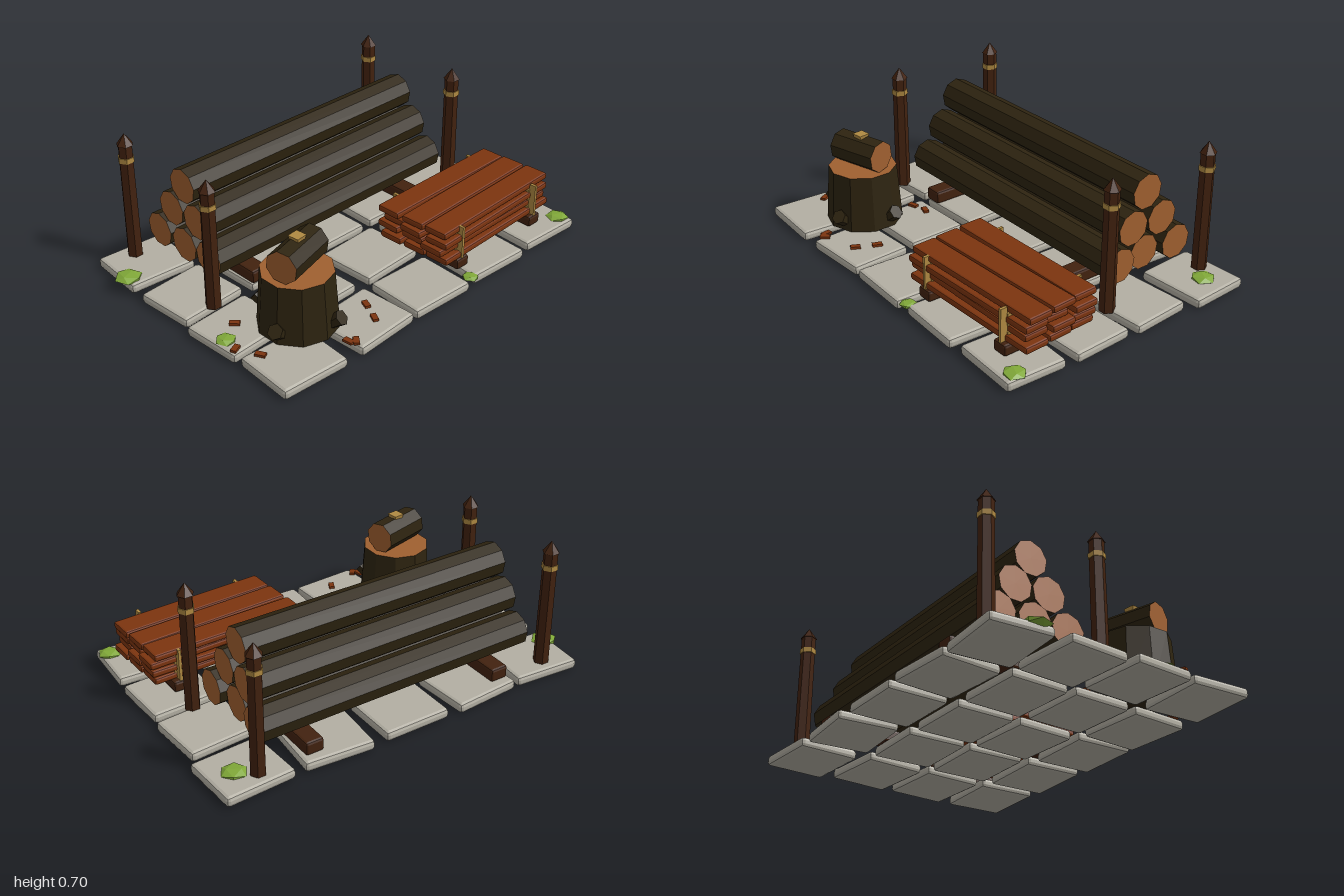
import * as THREE from 'three';
import { RoundedBoxGeometry } from 'three/addons/geometries/RoundedBoxGeometry.js';

const mat = (name, color) => {
  const m = new THREE.MeshStandardMaterial({ color, flatShading: true });
  m.name = name;
  return m;
};

export function createModel() {
  const stone = mat('stone', 0xb3afa3);
  const bark = mat('bark', 0x2e2410);
  const cutWood = mat('cutWood', 0xa06030);
  const darkWood = mat('darkWood', 0x42220f);
  const plankWood = mat('plankWood', 0x7c340f);
  const straw = mat('straw', 0xb08a42);
  const moss = mat('moss', 0x80a838);

  const root = new THREE.Group();
  root.name = 'lumberYard';

  const group = (name) => {
    const g = new THREE.Group();
    g.name = name;
    root.add(g);
    return g;
  };
  const add = (parent, name, geo, material, x, y, z, yaw = 0) => {
    const m = new THREE.Mesh(geo, material);
    m.name = name;
    m.position.set(x, y, z);
    m.rotation.y = yaw;
    parent.add(m);
    return m;
  };
  const chamferBox = (w, h, d, r) => new RoundedBoxGeometry(w, h, d, 1, r);
  // Cylinder lying along x with bark sides and cut wood ends
  const log = (parent, name, r, length, sides, x, y, z, yaw = 0) => {
    const geo = new THREE.CylinderGeometry(r, r, length, sides, 1, false, Math.PI / 6);
    geo.rotateZ(-Math.PI / 2);
    return add(parent, name, geo, [bark, cutWood, cutWood], x, y, z, yaw);
  };

  // Paving: four rows of five slightly turned slabs
  const paving = group('paving');
  const rows = [
    { z: -0.525, yaw: [-0.08, 0.07, 0, -0.08, 0.05], dx: [0.01, 0, 0, 0.01, 0.03] },
    { z: -0.17, yaw: [0.06, 0.03, 0, -0.03, 0.07], dx: [0, 0, 0, 0, 0.01] },
    { z: 0.17, yaw: [0.05, 0.02, 0.04, -0.03, 0.04], dx: [-0.01, 0, 0.02, 0.01, 0.01] },
    { z: 0.515, yaw: [-0.06, 0.05, -0.04, -0.05, -0.05], dx: [0, 0.02, 0, 0, 0] },
  ];
  for (const { z, yaw, dx } of rows) {
    for (let c = 0; c < 5; c++) {
      add(paving, 'slab', chamferBox(0.345, 0.05, 0.305, 0.017), stone,
        -0.788 + c * 0.394 + dx[c], 0.026, z, yaw[c]);
    }
  }

  // Rack: two sleepers and four pointed posts with bands
  const rack = group('logRack');
  for (const x of [-0.512, 0.512]) {
    add(rack, 'sleeper', chamferBox(0.092, 0.066, 0.61, 0.012), darkWood, x, 0.083, -0.315);
  }
  const hex = (rTop, rBottom, h) => new THREE.CylinderGeometry(rTop, rBottom, h, 6, 1, false, Math.PI / 6);
  for (const x of [-0.787, 0.787]) {
    for (const z of [-0.018, -0.6]) {
      add(rack, 'post', hex(0.035, 0.038, 0.6), darkWood, x, 0.345, z);
      add(rack, 'postTip', hex(0, 0.041, 0.057), darkWood, x, 0.668, z);
      add(rack, 'postBand', hex(0.04, 0.04, 0.025), straw, x, 0.567, z);
    }
  }

  // Pyramid of six logs
  const pile = group('logPile');
  const logs = [
    [-0.13, 0.205, 0.015, 1.46], [-0.302, 0.205, 0, 1.43], [-0.485, 0.205, 0.01, 1.45],
    [-0.22, 0.356, 0.01, 1.43], [-0.395, 0.356, 0.01, 1.43], [-0.31, 0.505, 0.005, 1.41],
  ];
  for (const [z, y, x, length] of logs) log(pile, 'log', 0.086, length, 9, x, y, z);

  // Chopping block with roots, a short log and a wedge
  const block = group('choppingBlock');
  block.position.set(-0.603, 0, 0.34);
  add(block, 'stump', new THREE.CylinderGeometry(0.167, 0.187, 0.282, 10), [bark, cutWood, bark], 0, 0.192, 0);
  for (const [x, z] of [[-0.18, 0.065], [0.195, -0.05], [0.07, 0.185], [-0.06, -0.185]]) {
    const geo = new THREE.CylinderGeometry(0.022, 0.037, 0.12, 6);
    geo.rotateX(Math.PI / 2 - 0.7 + Math.PI);
    const a = Math.atan2(x, z);
    add(block, 'root', geo, bark, Math.sin(a) * 0.165, 0.098, Math.cos(a) * 0.165, a);
  }
  log(block, 'shortLog', 0.079, 0.26, 8, 0, 0.41, 0.005, 0.27);
  add(block, 'wedge', new THREE.CylinderGeometry(0.04, 0.025, 0.05, 4, 1, false, Math.PI / 4), straw,
    0.003, 0.475, 0.002, 0.12);

  // Plank stack on two bearers
  const stack = group('plankStack');
  for (const x of [0.23, 0.765]) {
    add(stack, 'bearer', chamferBox(0.08, 0.055, 0.455, 0.012), darkWood, x, 0.08, 0.345);
    for (const z of [0.55, 0.142]) {
      add(stack, 'strap', new THREE.BoxGeometry(0.014, 0.165, 0.035), straw, x, 0.187, z);
    }
    for (const y of [0.143, 0.188, 0.233]) {
      add(stack, 'spacer', new THREE.BoxGeometry(0.03, 0.014, 0.38), straw, x, y, 0.345);
    }
  }
  const layers = [
    { y: 0.121, yaw: [0.02, 0.035, 0.03], dz: 0.012 },
    { y: 0.166, yaw: [-0.015, 0.02, 0.015], dz: -0.004 },
    { y: 0.21, yaw: [0.03, -0.01, 0.04], dz: 0.01 },
    { y: 0.254, yaw: [0.015, 0.04, 0.035], dz: -0.005 },
  ];
  layers.forEach(({ y, yaw, dz }, i) => {
    yaw.forEach((a, k) => add(stack, 'plank', chamferBox(0.79, 0.034, 0.126, 0.01), plankWood,
      0.5 + ((i + k) % 3 - 1) * 0.01, y, 0.21 + k * 0.134 + dz, a));
  });

  // Wood chips around the block
  const chips = group('woodChips');
  const chipSpots = [[-0.815, 0.16, -0.8], [-0.88, 0.405, -1.1], [-0.53, 0.097, 0.3], [-0.45, 0.08, -0.3],
    [-0.305, 0.465, 1.2], [-0.35, 0.56, 1.1], [-0.525, 0.622, 0.9], [-0.55, 0.6, 1.7], [-0.93, 0.3, 0.4]];
  for (const [x, z, yaw] of chipSpots) {
    add(chips, 'chip', new THREE.BoxGeometry(0.048, 0.012, 0.027), plankWood, x, 0.057, z, yaw);
  }

  // Flattened moss clumps
  const clumps = group('moss');
  for (const [x, z, r, y] of [[-0.93, -0.46, 0.068, 0.052], [0.87, -0.54, 0.062, 0.053], [-0.915, 0.22, 0.05, 0.053],
    [0.91, 0.605, 0.057, 0.053], [0.205, 0.64, 0.042, 0.045]]) {
    const m = add(clumps, 'mossClump', new THREE.IcosahedronGeometry(r, 0), moss, x, y, z, x * 3);
    m.scale.y = 0.3;
  }

  return root;
}
